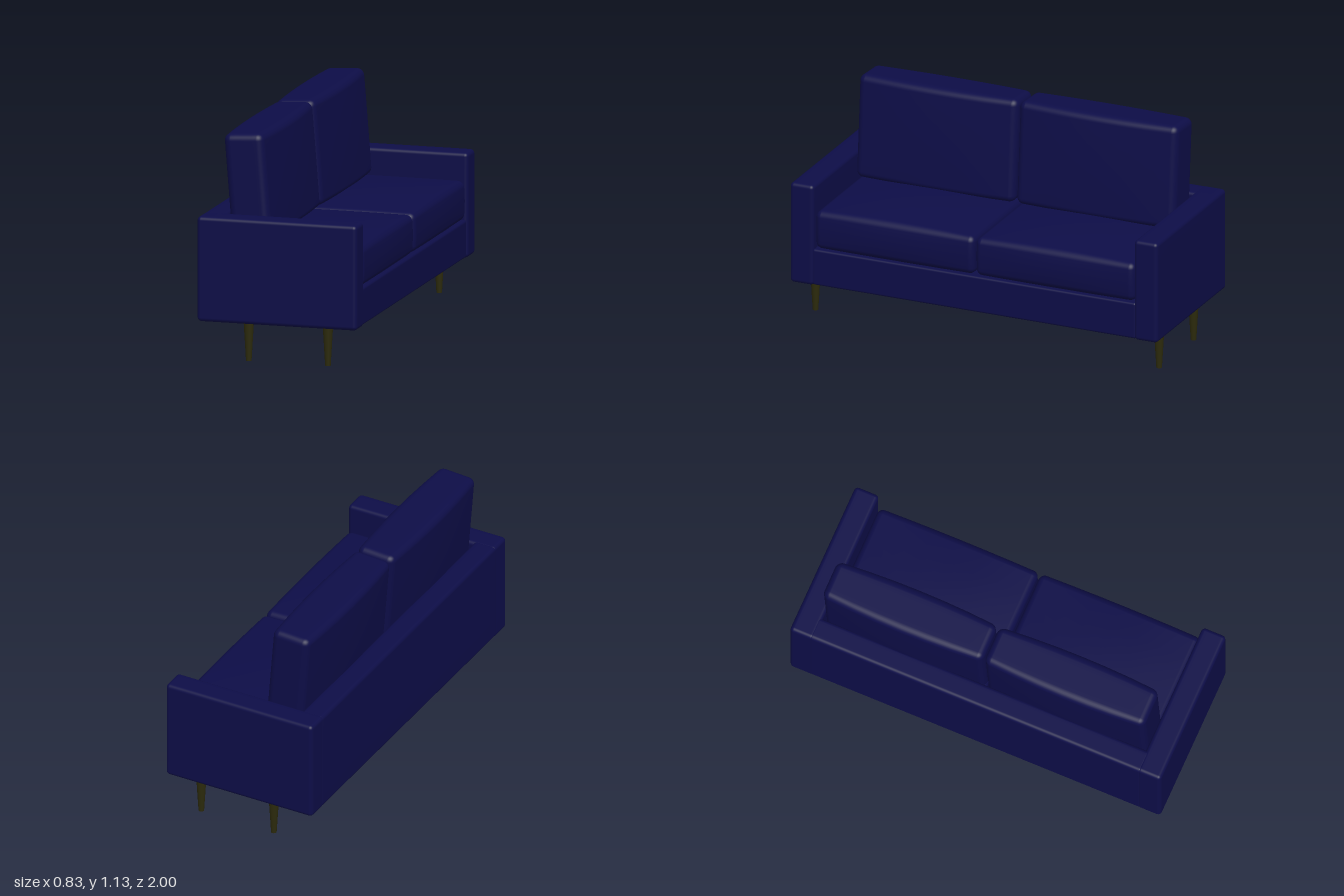
import * as THREE from 'three';
import { mergeVertices } from 'three/addons/utils/BufferGeometryUtils.js';

const fabric = new THREE.MeshStandardMaterial({ color: 0x0d0d47 });
fabric.name = 'navy fabric';
const wood = new THREE.MeshStandardMaterial({ color: 0x2c2a0c });
wood.name = 'dark wood';

// Rounded box given by its limits; deform(p, u) may move each point, u being -1..1 across the box
function softBox(name, min, max, r, deform) {
  const n = 14, edge = 4;
  const geo = new THREE.BoxGeometry(2, 2, 2, n, n, n);
  geo.deleteAttribute('uv');
  geo.deleteAttribute('normal');
  const lo = new THREE.Vector3(...min), hi = new THREE.Vector3(...max);
  const mid = lo.clone().add(hi).multiplyScalar(0.5);
  const half = hi.clone().sub(lo).multiplyScalar(0.5);
  const pos = geo.attributes.position;
  const p = new THREE.Vector3(), inner = new THREE.Vector3(), u = new THREE.Vector3();

  // Crowd the grid lines into the rounded edges
  const remap = (t, h) => {
    const k = Math.round(Math.abs(t) * n / 2), flat = n / 2 - edge;
    const d = k <= flat ? (h - r) * k / flat
      : h - r + r * Math.tan((k - flat) / edge * Math.PI / 4);
    return Math.sign(t) * d;
  };
  for (let i = 0; i < pos.count; i++) {
    p.fromBufferAttribute(pos, i);
    p.set(remap(p.x, half.x), remap(p.y, half.y), remap(p.z, half.z));
    for (const a of ['x', 'y', 'z']) {
      inner[a] = THREE.MathUtils.clamp(p[a], r - half[a], half[a] - r);
    }
    p.sub(inner);
    if (p.length() > r) p.setLength(r);
    p.add(inner);
    u.copy(p).divide(half);
    p.add(mid);
    if (deform) deform(p, u);
    pos.setXYZ(i, p.x, p.y, p.z);
  }
  const merged = mergeVertices(geo, 1e-5);
  merged.computeVertexNormals();
  const mesh = new THREE.Mesh(merged, fabric);
  mesh.name = name;
  return mesh;
}

// Crown over the seat cushion and a gentle swell of its front
function puffSeat(p, u) {
  const bx = 1 - u.x * u.x, by = 1 - u.y * u.y, bz = 1 - u.z * u.z;
  p.y += 0.02 * u.y * bx * bz + (u.y > 0 ? 0.006 * bz : 0);
  if (u.x > 0) p.x += 0.014 * u.x * by * (0.4 + 0.6 * bz);
}

// Back cushion swells along its width and leans backwards
function puffBack(p, u) {
  const swell = (1 - u.z * u.z) * (1 - 0.3 * u.y * u.y);
  p.x += 0.025 * u.x * swell - 0.08 * (p.y - 0.865);
  if (u.y > 0) p.y += 0.006 * u.x * u.y;
}

export function createModel() {
  const sofa = new THREE.Group();
  sofa.name = 'sofa';

  // Frame
  sofa.add(softBox('seatBase', [-0.33, 0.198, -0.88], [0.405, 0.388, 0.88], 0.012));
  sofa.add(softBox('backrest', [-0.415, 0.196, -0.9], [-0.295, 0.724, 0.9], 0.02));

  const legGeo = new THREE.CylinderGeometry(0.026, 0.014, 0.2, 16);
  for (const [side, s] of [['left', -1], ['right', 1]]) {
    const span = (a, b) => (s > 0 ? [a, b] : [-b, -a]);

    // Arm
    const [a0, a1] = span(0.872, 1);
    sofa.add(softBox(side + 'Arm', [-0.415, 0.195, a0], [0.412, 0.725, a1], 0.02));

    // Cushions
    const [c0, c1] = span(0.004, 0.868);
    sofa.add(softBox(side + 'SeatCushion', [-0.3, 0.39, c0], [0.4, 0.59, c1], 0.032, puffSeat));
    sofa.add(softBox(side + 'BackCushion', [-0.298, 0.598, c0], [-0.098, 1.126, c1], 0.035, puffBack));

    // Tapered legs under the arm
    for (const [end, x] of [['Back', -0.165], ['Front', 0.245]]) {
      const leg = new THREE.Mesh(legGeo, wood);
      leg.name = side + end + 'Leg';
      leg.position.set(x, 0.1, s * 0.935);
      sofa.add(leg);
    }
  }
  return sofa;
}
